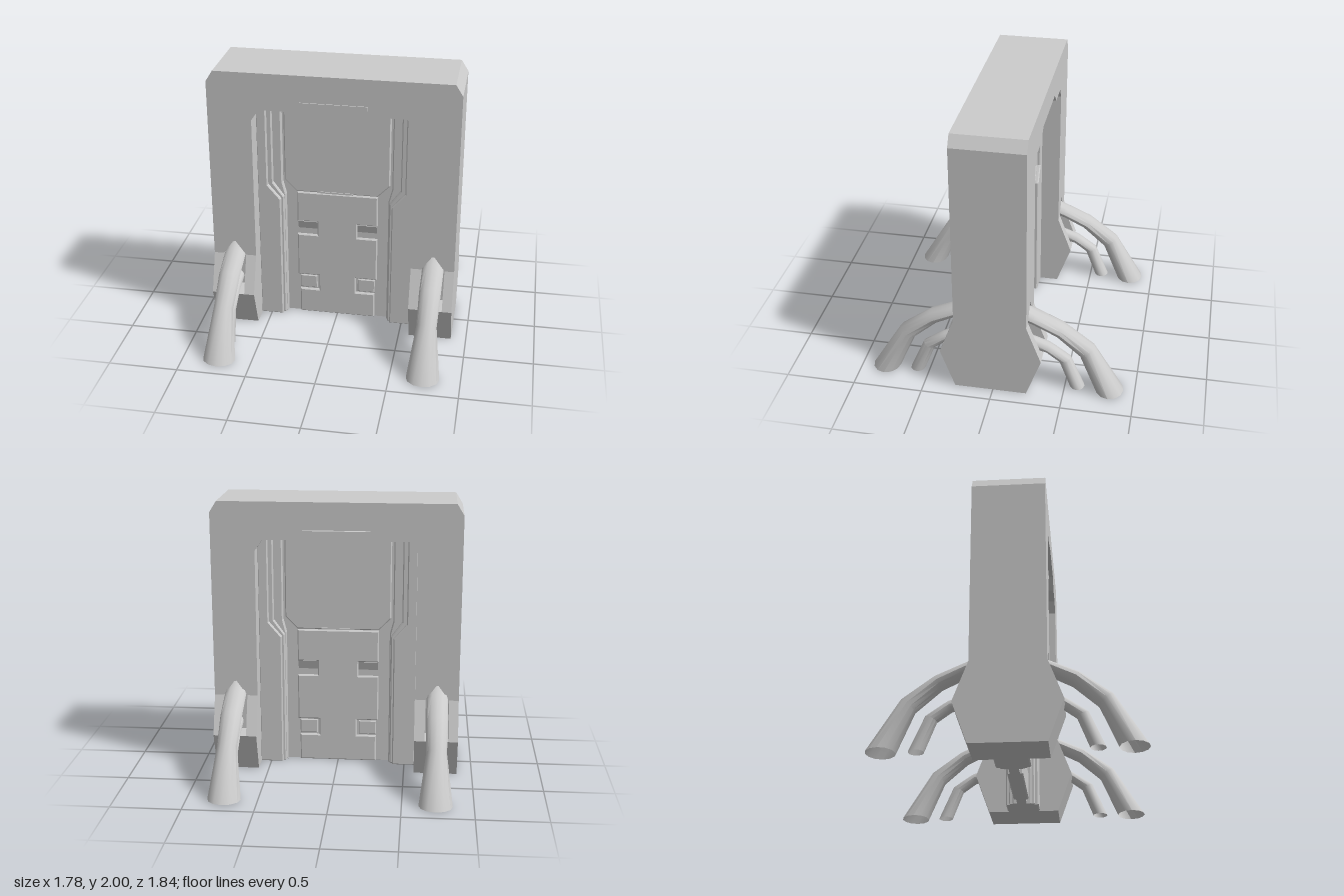
import * as THREE from 'three';
import { toCreasedNormals } from 'three/addons/utils/BufferGeometryUtils.js';

const grey = new THREE.MeshStandardMaterial({ color: 0xcccccc, side: THREE.DoubleSide });
const MID = 0.0175;   // z of the gate's middle plane
const HALF = 0.2575;  // half thickness of the gate
const LAYER = 0.06;   // thickness of the outer skin that holds the pockets
const LEG = 0.735;    // x of the leg middle

const mirrorX = pts => pts.map(([x, y]) => [-x, y]).reverse();
const polygon = pts => new THREE.Shape(pts.map(([x, y]) => new THREE.Vector2(x, y)));

function add(parent, name, geometry) {
  const mesh = new THREE.Mesh(geometry, grey);
  mesh.name = name;
  parent.add(mesh);
  return mesh;
}

// Slab with a polygon outline between two depths, with an optional front bevel
function slab(parent, name, pts, z0, z1, { holes = [], bevel = 0 } = {}) {
  const shape = polygon(pts);
  for (const h of holes) shape.holes.push(new THREE.Path(polygon(h).getPoints()));
  const geo = new THREE.ExtrudeGeometry(shape, {
    depth: z1 - z0 - 2 * bevel, bevelEnabled: bevel > 0, bevelSize: bevel,
    bevelThickness: bevel, bevelOffset: -bevel, bevelSegments: 1,
  });
  geo.translate(0, 0, z0 + bevel);
  return add(parent, name, geo);
}

function box(parent, name, x0, x1, y0, y1, z0, z1) {
  const geo = new THREE.BoxGeometry(x1 - x0, y1 - y0, z1 - z0);
  geo.translate((x0 + x1) / 2, (y0 + y1) / 2, (z0 + z1) / 2);
  return add(parent, name, geo);
}

// Side profile of (z, y) points extruded from x0 to x1
function wedge(parent, name, pts, x0, x1) {
  const geo = new THREE.ExtrudeGeometry(polygon(pts.map(([z, y]) => [-z, y])),
    { depth: x1 - x0, bevelEnabled: false });
  geo.rotateY(Math.PI / 2);
  geo.translate(x0, 0, 0);
  return add(parent, name, geo);
}

// Pipe lofted through rings: [upper z, upper y, lower z, lower y, half width]
function pipeGeometry(rings, sides = 12) {
  const pos = [], index = [];
  rings.forEach(([uz, uy, lz, ly, rx], i) => {
    for (let j = 0; j < sides; j++) {
      const a = (j / sides) * Math.PI * 2, s = Math.sin(a) / 2;
      pos.push(Math.cos(a) * rx, (uy + ly) / 2 + s * (uy - ly), (uz + lz) / 2 + s * (uz - lz));
      if (i === rings.length - 1) continue;
      const k = (j + 1) % sides, p = i * sides, q = p + sides;
      index.push(p + j, p + k, q + k, p + j, q + k, q + j);
    }
  });
  const geo = new THREE.BufferGeometry();
  geo.setAttribute('position', new THREE.Float32BufferAttribute(pos, 3));
  geo.setIndex(index);
  return toCreasedNormals(geo, 0.65);
}

// Gate outline: an arch open at the bottom, with an optional lamp notch
function archOutline(notch) {
  const right = [[0.575, 0], [0.89, 0], [0.89, 1.92], [0.84, 2]];
  const inner = [[0.52, 1.73], [0.575, 1.65]];
  const lamp = notch ? [[0.25, 1.805], [0.33, 1.73]] : [];
  const half = [...lamp, ...inner];
  return [...right, ...mirrorX(right), ...mirrorX(half), ...half];
}

// One face of the gate, looking towards +z
function buildFace() {
  const face = new THREE.Group();

  // Outer skin with peaked pockets for the pipes
  const pocket = s => [[0.65, 0.29], [0.82, 0.29], [0.82, 0.57], [LEG, 0.69], [0.65, 0.57]]
    .map(([x, y]) => [s * x, y]);
  slab(face, 'archSkin', archOutline(true), HALF - LAYER, HALF, { holes: [pocket(1), pocket(-1)] });

  // Lamp in the notch above the door
  box(face, 'lampBar', -0.24, 0.24, 1.752, 1.79, HALF - LAYER, HALF - 0.03);

  for (const s of [1, -1]) {
    // Flared foot, left open around the pipe pocket
    const z = HALF - 0.001, out = HALF + 0.105;
    const flare = [[z, 0], [HALF, 0], [out, 0.29], [HALF, 0.57], [z, 0.57]];
    const lower = [[z, 0], [HALF, 0], [out, 0.29], [z, 0.29]];
    for (const [pts, a, b] of [[flare, 0.575, 0.65], [lower, 0.65, 0.82], [flare, 0.82, 0.89]]) {
      wedge(face, 'footFlare', pts, s > 0 ? a : -b, s > 0 ? b : -a);
    }

    // Stepped door jambs that widen towards the top
    const jamb = (name, lowX, highX, y0, y1, depth) => {
      const pts = [[lowX, 0], [0.58, 0], [0.58, 1.735], [highX, 1.735], [highX, y1], [lowX, y0]];
      slab(face, name, s > 0 ? pts : mirrorX(pts), 0, depth, { bevel: 0.008 });
    };
    jamb('outerJamb', 0.41, 0.505, 0.98, 1.09, 0.12);
    jamb('middleJamb', 0.39, 0.47, 0.99, 1.1, 0.095);
    jamb('innerJamb', 0.38, 0.405, 1.0, 1.1, 0.07);

    // Inset pads in the lower door
    const x0 = s > 0 ? 0.155 : -0.285, x1 = x0 + 0.13;
    slab(face, 'lowerPad', [[x0, 0.21], [x1, 0.21], [x1, 0.315], [x0, 0.315]], 0, 0.045, { bevel: 0.006 });
    // Sloped ledges above the side notches
    wedge(face, 'notchLedge', [[0.03, 0.7], [0.055, 0.78], [0.03, 0.78]],
      s > 0 ? 0.15 : -0.295, s > 0 ? 0.295 : -0.15);
  }

  // Door: backing plate, upper panel and notched lower panel
  box(face, 'doorBacking', -0.575, 0.575, 0, 1.735, 0, 0.035);
  const upper = [[0.3, 1.03], [0.388, 1.12], [0.388, 1.735]];
  slab(face, 'upperDoorPanel', [...upper, ...mirrorX(upper)], 0, 0.066, { bevel: 0.008 });
  const lower = [[0.285, 0], [0.285, 0.2], [0.14, 0.2], [0.14, 0.325], [0.3, 0.325], [0.3, 0.67],
    [0.15, 0.67], [0.15, 0.78], [0.3, 0.78], [0.3, 1.02]];
  slab(face, 'lowerDoorPanel', [...lower, ...mirrorX(lower)], 0, 0.055, { bevel: 0.008 });
  box(face, 'doorSeam', -0.12, 0.12, 1.03, 1.042, 0, 0.072);
  return face;
}

export function createModel() {
  const model = new THREE.Group();
  model.name = 'gate';

  // Solid core of the arch
  const core = slab(model, 'archCore', archOutline(false), LAYER - HALF, HALF - LAYER);
  core.position.z = MID;

  const largePipe = pipeGeometry([
    [0.18, 0.66, 0.18, 0.55, 0.076], [0.275, 0.62, 0.285, 0.515, 0.078], [0.48, 0.53, 0.43, 0.44, 0.078],
    [0.7, 0.37, 0.6, 0.285, 0.072], [0.92, 0.005, 0.72, 0.005, 0.118]]);
  const smallPipe = pipeGeometry([
    [0.22, 0.41, 0.22, 0.31, 0.05], [0.38, 0.355, 0.36, 0.28, 0.05], [0.42, 0.33, 0.38, 0.265, 0.05],
    [0.535, 0.25, 0.455, 0.21, 0.05], [0.64, 0.005, 0.535, 0.005, 0.06]]);

  // The front and back sides are alike
  for (const [side, turn] of [['front', 0], ['back', Math.PI]]) {
    const face = buildFace();
    face.name = side + 'Face';
    face.position.z = MID;
    face.rotation.y = turn;
    model.add(face);

    const pipes = new THREE.Group();
    pipes.name = side + 'Pipes';
    pipes.rotation.y = turn;
    for (const x of [LEG, -LEG]) {
      add(pipes, 'largePipe', largePipe).position.x = x;
      add(pipes, 'smallPipe', smallPipe).position.x = x;
    }
    model.add(pipes);
  }
  return model;
}
